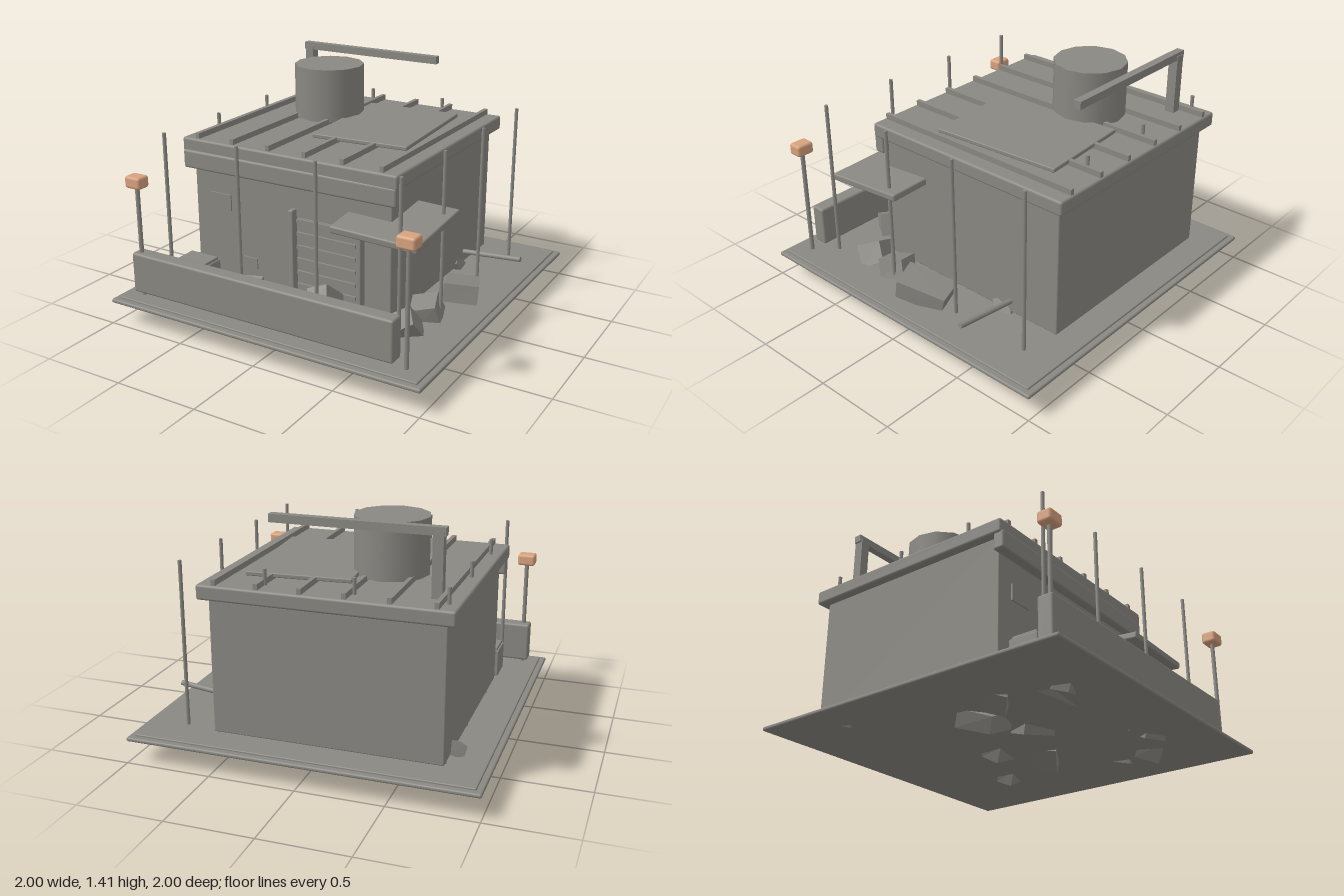
import * as THREE from 'three';
import { RoundedBoxGeometry } from 'three/addons/geometries/RoundedBoxGeometry.js';

const concrete = new THREE.MeshStandardMaterial({ color: 0x8a8882 });
concrete.name = 'weathered grey';
const amber = new THREE.MeshStandardMaterial({ color: 0xd8a27e });
amber.name = 'lamp orange';

export function createModel() {
  const model = new THREE.Group();
  model.name = 'bunker';

  const add = (name, geometry, x, y, z, material = concrete, rot = [0, 0, 0]) => {
    const mesh = new THREE.Mesh(geometry, material);
    mesh.name = name;
    mesh.position.set(x, y, z);
    mesh.rotation.set(...rot);
    model.add(mesh);
    return mesh;
  };

  // Box given by its extents, softened when r > 0
  const block = (name, [x0, x1], [y0, y1], [z0, z1], r = 0, material = concrete) => {
    const s = [x1 - x0, y1 - y0, z1 - z0];
    const g = r ? new RoundedBoxGeometry(...s, 2, r) : new THREE.BoxGeometry(...s);
    return add(name, g, (x0 + x1) / 2, (y0 + y1) / 2, (z0 + z1) / 2, material);
  };

  // Round bar between two points
  const bar = (name, a, b, r) => {
    const p = new THREE.Vector3(...a), q = new THREE.Vector3(...b);
    const dir = q.clone().sub(p);
    const mesh = add(name, new THREE.CylinderGeometry(r, r, dir.length(), 8), 0, 0, 0);
    mesh.position.copy(p).add(q).multiplyScalar(0.5);
    mesh.quaternion.setFromUnitVectors(new THREE.Vector3(0, 1, 0), dir.normalize());
    return mesh;
  };

  // Ground slab with a stepped edge
  block('groundSlab', [-1, 1], [0.093, 0.117], [-1, 1], 0.01);
  block('groundTop', [-0.965, 0.965], [0.11, 0.128], [-0.965, 0.965], 0.006);

  // Main building
  block('walls', [-0.76, 0.55], [0.14, 0.93], [-0.81, 0.47], 0.008);
  block('roofSlab', [-0.81, 0.6], [0.915, 1.0], [-0.86, 0.515], 0.014);
  block('frontLintel', [-0.8, 0.595], [0.82, 0.93], [0.455, 0.523], 0.014).rotation.y = 0.008;

  // Roof ribs and loose sheet
  for (let i = 0; i < 6; i++) {
    const x = -0.71 + i * 0.242;
    block('roofRib', [x - 0.012, x + 0.012], [1.0, 1.033], [-0.85, 0.5]);
  }
  add('roofSheet', new RoundedBoxGeometry(0.592, 0.025, 0.79, 2, 0.006),
    0.134, 1.023, -0.237, concrete, [0, 0.07, 0]);

  // Water tank and hoist arm
  add('waterTank', new THREE.CylinderGeometry(0.212, 0.212, 0.32, 12), -0.32, 1.172, -0.32);
  block('hoistPost', [-0.697, -0.64], [1.0, 1.35], [-0.692, -0.635]);
  block('hoistArm', [-0.708, 0.245], [1.325, 1.37], [-0.688, -0.642]);

  // Shutter door with rails and side posts
  block('shutter', [-0.04, 0.34], [0.14, 0.635], [0.46, 0.482]);
  for (let i = 0; i < 7; i++) {
    const y = 0.155 + i * 0.078;
    block('shutterRail', [-0.04, 0.34], [y - 0.01, y + 0.01], [0.47, 0.497]);
  }
  block('doorPost', [-0.085, -0.053], [0.14, 0.685], [0.465, 0.515], 0.008);
  block('doorPost', [0.353, 0.385], [0.14, 0.685], [0.465, 0.515], 0.008);

  // Windows and low vent
  block('window', [-0.655, -0.505], [0.585, 0.682], [0.465, 0.479]);
  block('window', [0.3, 0.45], [0.585, 0.682], [0.465, 0.479]);
  block('vent', [-0.43, -0.33], [0.255, 0.32], [0.465, 0.479]);

  // Sagging awning
  add('awning', new RoundedBoxGeometry(0.52, 0.042, 0.515, 2, 0.01),
    0.538, 0.708, 0.41, concrete, [0.085, 0, -0.03]);

  // Front barrier and lamps
  block('frontBarrier', [-0.905, 0.795], [0.15, 0.392], [0.813, 0.905], 0.014);
  for (const x of [-0.862, 0.855]) {
    bar('lampPost', [x, 0.115, 0.866], [x, 0.8, 0.866], 0.013);
    block('lamp', [x - 0.054, x + 0.054], [0.785, 0.856], [0.822, 0.91], 0.016, amber);
  }

  // Reinforcing rods around the perimeter
  for (let i = 0; i < 4; i++) {
    for (let j = 0; j < 4; j++) {
      if (i % 3 && j % 3) continue;
      const x = -0.747 + i * 0.497, z = -0.747 + j * 0.497;
      bar('rod', [x, 0.12, z], [x, 1.09, z], 0.011);
    }
  }

  // Pipes and crate
  bar('sidePipe', [0.5, 0.205, -0.485], [0.93, 0.245, -0.463], 0.016);
  bar('loosePipe', [-0.1, 0.13, 0.5], [0.035, 0.17, 0.575], 0.014);
  block('crate', [-0.765, -0.552], [0.125, 0.295], [0.54, 0.715], 0.006);
  block('crateLid', [-0.755, -0.56], [0.29, 0.312], [0.55, 0.705], 0.006);

  // Rubble: skewed boxes, half sunk into the slab
  let seed = 7;
  const rnd = () => (seed = (seed * 16807) % 2147483647) / 2147483647 - 0.5;
  const rubble = (x, y, z, w, h, d, rx, ry, rz, skew = 0.15) => {
    const g = new THREE.BoxGeometry(w, h, d).toNonIndexed();
    const p = g.attributes.position;
    const k = Array.from({ length: 8 }, () => [1 + rnd() * skew, 1 + rnd() * skew, 1 + rnd() * skew]);
    for (let i = 0; i < p.count; i++) {
      const c = (p.getX(i) > 0) + 2 * (p.getY(i) > 0) + 4 * (p.getZ(i) > 0);
      p.setXYZ(i, p.getX(i) * k[c][0], p.getY(i) * k[c][1], p.getZ(i) * k[c][2]);
    }
    g.computeVertexNormals();
    add('rubble', g, x, y, z, concrete, [rx, ry, rz]);
  };
  rubble(0.75, 0.185, -0.02, 0.19, 0.11, 0.29, -0.25, 0.36, 0.05);
  rubble(0.22, 0.22, 0.62, 0.13, 0.17, 0.16, 0.75, 0.4, 0.2);
  rubble(0.38, 0.16, 0.68, 0.13, 0.15, 0.11, 0.5, -0.5, 0.3);
  rubble(-0.39, 0.16, 0.59, 0.3, 0.13, 0.11, 0.5, 0.1, 0.12, 0.4);
  rubble(-0.47, 0.15, 0.69, 0.15, 0.13, 0.09, 0.4, 0.35, 0.2, 0.3);
  rubble(0.68, 0.165, 0.29, 0.15, 0.12, 0.16, 0.25, 0.3, 0.2);
  rubble(0.64, 0.14, 0.52, 0.2, 0.13, 0.14, 0.4, 0.6, 0.3);
  rubble(-0.4, 0.09, 0.1, 0.26, 0.1, 0.2, 0.35, 0.3, 0.35);
  rubble(0.31, 0.12, 0.0, 0.22, 0.11, 0.14, 0.3, 0.5, -0.4);
  rubble(-0.1, 0.12, 0.2, 0.2, 0.09, 0.14, 0.4, -0.3, 0.3);
  rubble(0.1, 0.12, -0.2, 0.16, 0.1, 0.12, 0.5, 0.2, 0.4);
  rubble(-0.55, 0.12, 0.3, 0.18, 0.1, 0.12, 0.3, 0.6, -0.4);
  rubble(0.5, 0.12, -0.42, 0.14, 0.1, 0.1, 0.4, 0.3, 0.4);
  rubble(-0.76, 0.15, -0.6, 0.1, 0.08, 0.12, 0.3, 0.5, 0.3);

  return model;
}
